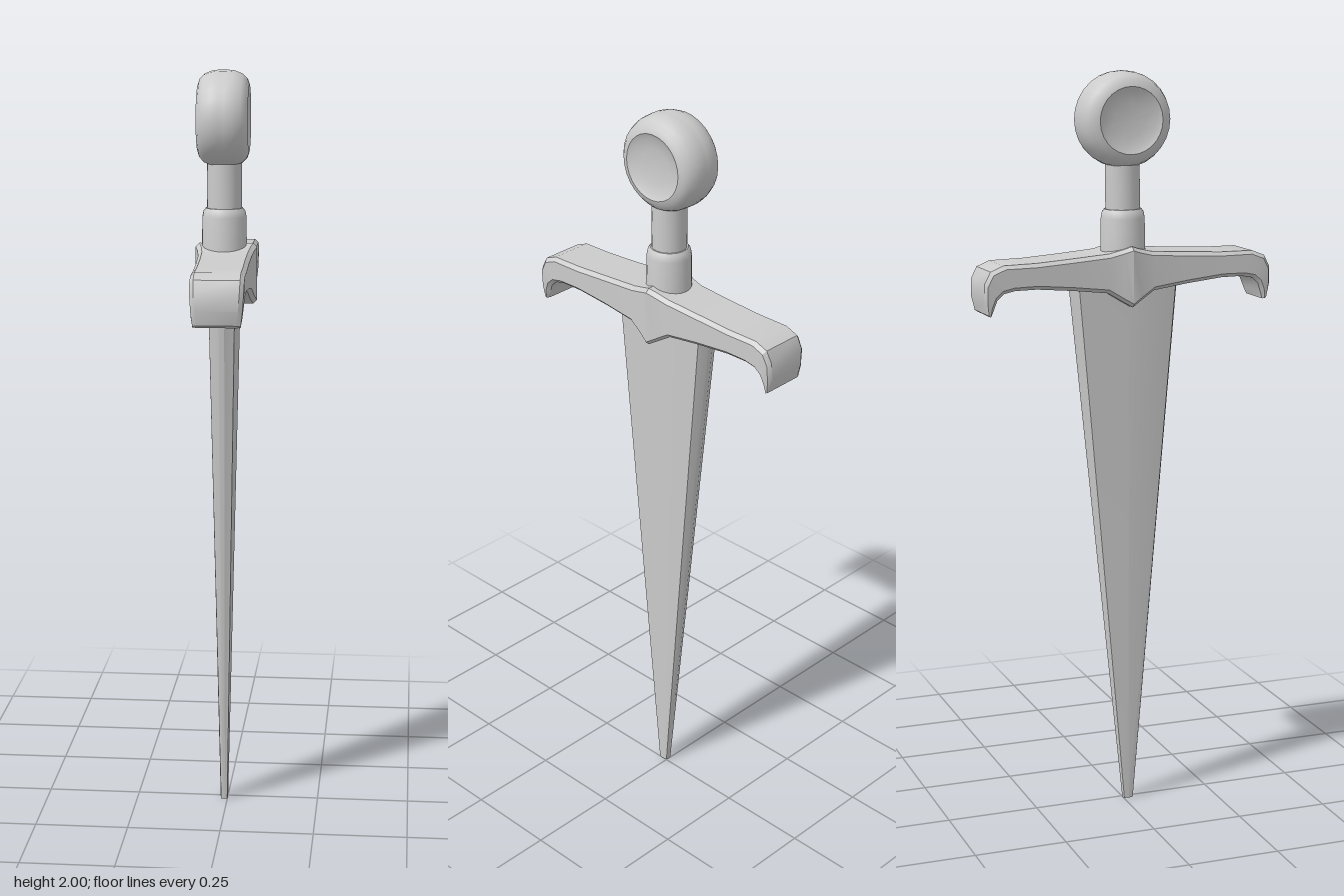
import * as THREE from 'three';
import { toCreasedNormals } from 'three/addons/utils/BufferGeometryUtils.js';

const material = new THREE.MeshStandardMaterial({ color: 0xcccccc });

function addPart(group, name, geometry, crease = 0.6) {
  const mesh = new THREE.Mesh(toCreasedNormals(geometry, crease), material);
  mesh.name = name;
  group.add(mesh);
  return mesh;
}

// Skin a list of equal-length rings and close both ends
function loft(rings) {
  const n = rings[0].length, index = [];
  for (let s = 0; s < rings.length - 1; s++) {
    for (let i = 0; i < n; i++) {
      const a = s * n + i, b = s * n + (i + 1) % n;
      index.push(a, b, b + n, a, b + n, a + n);
    }
  }
  const last = (rings.length - 1) * n;
  for (let i = 1; i < n - 1; i++) {
    index.push(0, i + 1, i, last, last + i, last + i + 1);
  }
  const geometry = new THREE.BufferGeometry();
  geometry.setAttribute('position', new THREE.Float32BufferAttribute(rings.flat(2), 3));
  geometry.setIndex(index);
  return geometry;
}

const lathe = (points, segments) =>
  new THREE.LatheGeometry(points.map(([r, y]) => new THREE.Vector2(r, y)), segments);

// Chamfered cross-section of the guard between a top and a bottom point
function guardRing([zt, yt, zb, yb, hw]) {
  const c = 0.01;
  const f = Math.min(0.3, c / Math.hypot(zt - zb, yt - yb));
  const at = (x, t) => [x, yb + (yt - yb) * t, zb + (zt - zb) * t];
  return [at(hw, f), at(hw, 1 - f), at(hw - c, 1), at(c - hw, 1),
    at(-hw, 1 - f), at(-hw, f), at(c - hw, 0), at(hw - c, 0)];
}

export function createModel() {
  const model = new THREE.Group();
  model.name = 'dagger';

  // Everything sits very slightly turned about the guard
  const dagger = new THREE.Group();
  dagger.name = 'daggerBody';
  dagger.position.set(-0.005, 1.5, 0);
  dagger.rotation.set(-0.009, 0.025, 0);
  model.add(dagger);
  const body = new THREE.Group();
  body.name = 'parts';
  body.position.y = -1.5;
  dagger.add(body);

  // Blade: tapered, with a soft middle ridge and bevelled edges
  const half = [[0.152, 0.008], [0.138, 0.035], [0, 0.043], [-0.138, 0.035], [-0.152, 0.008]];
  const outline = [...half, ...half.map(([z, x]) => [-z, -x])];
  const bladeRing = (y, sz, sx) => outline.map(([z, x]) => [x * sx - 0.004, y, z * sz]);
  addPart(body, 'blade', loft([bladeRing(0, 0.09, 0.24), bladeRing(1.46, 1, 1)]), 0.3);

  // Guard: stations of [top z, top y, bottom z, bottom y, half width]
  const stations = [
    [0.02, 1.543, 0.025, 1.405, 0.075],
    [0.06, 1.533, 0.065, 1.43, 0.07],
    [0.16, 1.526, 0.16, 1.442, 0.068],
    [0.26, 1.52, 0.26, 1.452, 0.068],
    [0.35, 1.519, 0.32, 1.452, 0.068],
    [0.385, 1.505, 0.35, 1.446, 0.068],
    [0.401, 1.475, 0.368, 1.43, 0.067],
    [0.403, 1.43, 0.377, 1.405, 0.064],
    [0.395, 1.393, 0.384, 1.386, 0.06],
  ];
  const mirrored = stations.map(([zt, yt, zb, yb, w]) => [-zt, yt, -zb, yb, w]).reverse();
  const guard = [...mirrored, [0, 1.55, 0, 1.39, 0.081], ...stations];
  addPart(body, 'guard', loft(guard.map(guardRing)), 0.5);

  // Collar with a rounded shoulder, and the grip above it
  const collar = addPart(body, 'collar', lathe(
    [[0.06, 1.48], [0.058, 1.62], [0.055, 1.635], [0.049, 1.643], [0, 1.643]], 24));
  const grip = addPart(body, 'grip', lathe(
    [[0.045, 1.6], [0.046, 1.7], [0.045, 1.79]], 24));
  collar.position.x = grip.position.x = -0.005;

  // Wheel pommel with a dished disc on each face
  const side = [[0, 0.052], [0.045, 0.055], [0.074, 0.06], [0.087, 0.067], [0.102, 0.062],
    [0.115, 0.049], [0.123, 0.028], [0.125, 0.008]];
  const wheel = lathe([...side.map(([r, y]) => [r, -y]), ...[...side].reverse()], 28);
  wheel.rotateZ(Math.PI / 2);
  const pommel = addPart(body, 'pommel', wheel, 0.5);
  pommel.position.set(-0.007, 1.875, 0);

  return model;
}
